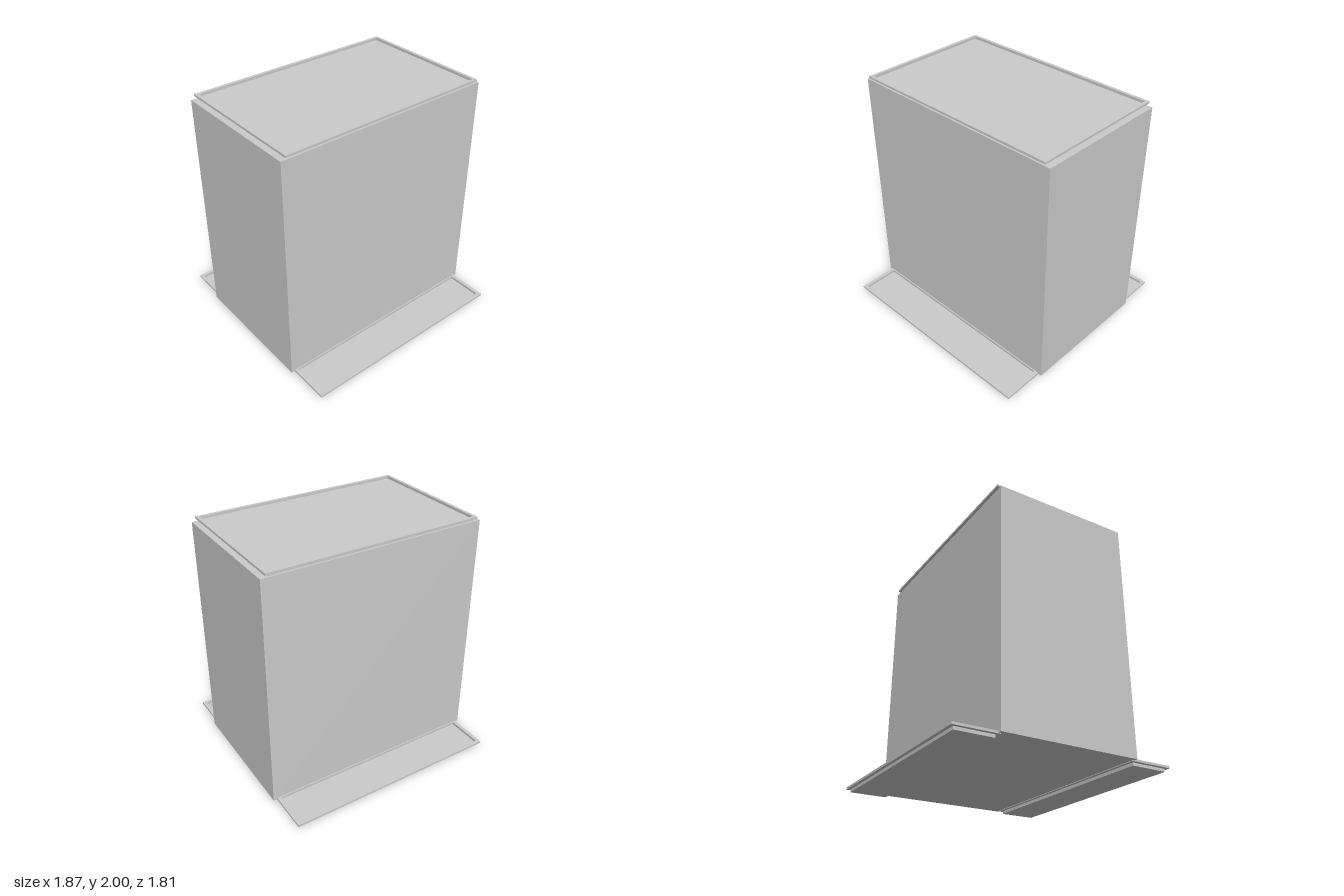
import * as THREE from 'three';

const material = new THREE.MeshStandardMaterial({ color: 0xcccccc, flatShading: true });
const TRAY_HEIGHT = 0.042, FLOOR = 0.02, LIP_BASE = 0.024;

function rectangle(PathType, w, d) {
  return new PathType([
    new THREE.Vector2(-w / 2, -d / 2), new THREE.Vector2(w / 2, -d / 2),
    new THREE.Vector2(w / 2, d / 2), new THREE.Vector2(-w / 2, d / 2),
  ]);
}

// Flat rectangular frame lying in XZ, from y0 to y1
function frame(name, outer, inner, y0, y1) {
  const shape = rectangle(THREE.Shape, ...outer);
  shape.holes.push(rectangle(THREE.Path, ...inner));
  const geometry = new THREE.ExtrudeGeometry(shape, { depth: y1 - y0, bevelEnabled: false });
  geometry.rotateX(-Math.PI / 2).translate(0, y0, 0);
  const mesh = new THREE.Mesh(geometry, material);
  mesh.name = name;
  return mesh;
}

function box(name, w, h, d, y) {
  const mesh = new THREE.Mesh(new THREE.BoxGeometry(w, h, d), material);
  mesh.name = name;
  mesh.position.y = y + h / 2;
  return mesh;
}

// Shallow tray: sunken floor, thin wall and an overhanging lip
function tray(name, w, d, lip) {
  const group = new THREE.Group();
  group.name = name;
  const opening = [w - 0.004, d - 0.004];
  group.add(
    box('trayFloor', w, FLOOR, d, 0),
    frame('trayWall', [w, d], opening, FLOOR, LIP_BASE),
    frame('trayLip', [w + 2 * lip, d + 2 * lip], opening, LIP_BASE, TRAY_HEIGHT),
  );
  return group;
}

export function createModel() {
  const model = new THREE.Group();
  model.name = 'cabinet';

  // Main body
  model.add(box('body', 1.87, 1.934, 1.13, 0.03));

  // Top tray
  const top = tray('topTray', 1.756, 1.1, 0.023);
  top.position.y = 2 - TRAY_HEIGHT;
  model.add(top);

  // Front and back trays at the foot
  for (const side of [1, -1]) {
    const foot = tray(side > 0 ? 'frontTray' : 'backTray', 1.756, 0.305, 0.026);
    foot.position.z = side * 0.7245;
    model.add(foot);
  }
  return model;
}
